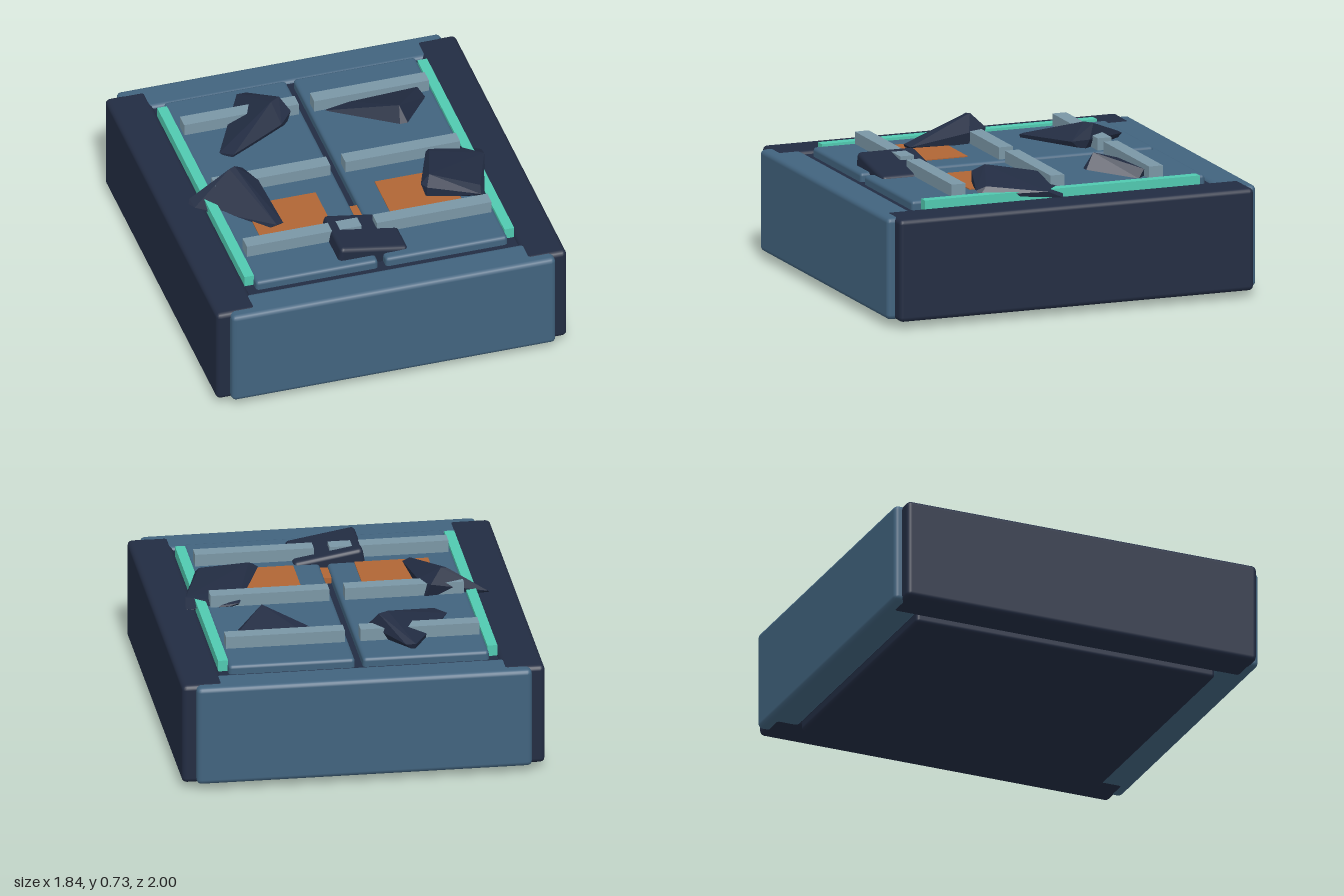
import * as THREE from 'three';
import { RoundedBoxGeometry } from 'three/addons/geometries/RoundedBoxGeometry.js';
import { ConvexGeometry } from 'three/addons/geometries/ConvexGeometry.js';

const material = (name, color) => Object.assign(new THREE.MeshStandardMaterial({ color }), { name });

export function createModel() {
  const model = new THREE.Group();
  model.name = 'crate';
  const navy = material('navy', 0x222c42);
  const blue = material('steel blue', 0x41637e);
  const teal = material('teal', 0x50c9b0);
  const orange = material('orange', 0xb06535);
  const grey = material('blue grey', 0x7a96a5);

  // Box given by its [min, max] range on each axis; r rounds the edges.
  function box(name, mat, [x0, x1], [y0, y1], [z0, z1], r = 0) {
    const size = [x1 - x0, y1 - y0, z1 - z0];
    const geometry = r ? new RoundedBoxGeometry(...size, 2, r) : new THREE.BoxGeometry(...size);
    const mesh = new THREE.Mesh(geometry, mat);
    mesh.name = name;
    mesh.position.set((x0 + x1) / 2, (y0 + y1) / 2, (z0 + z1) / 2);
    model.add(mesh);
    return mesh;
  }

  // Faceted chunk of rubble spanned by its corners.
  function shard(name, corners) {
    const mesh = new THREE.Mesh(new ConvexGeometry(corners.map((p) => new THREE.Vector3(...p))), navy);
    mesh.name = name;
    model.add(mesh);
  }

  // Body: plinth, filling and four walls
  box('base', navy, [-0.715, 0.715], [0, 0.1], [-0.82, 0.82], 0.02);
  box('core', navy, [-0.73, 0.73], [0.05, 0.545], [-0.84, 0.84]);
  for (const s of [-1, 1]) {
    const side = s < 0 ? 'right' : 'left';
    const span = (a, b) => (s < 0 ? [-b, -a] : [a, b]);
    box(side + 'Wall', navy, span(0.705, 0.92), [0.035, 0.562], [-0.96, 0.96], 0.025);
    box(s < 0 ? 'backWall' : 'frontWall', blue, [-0.85, 0.85], [0.037, 0.56], span(0.82, 1), 0.025);

    // Lid panel, light strip, hatch and crossbars on each half
    box(side + 'Panel', blue, span(0.02, 0.66), [0.5, 0.592], [-0.8, 0.79], 0.018);
    box(side + 'LightStrip', teal, span(0.657, 0.708), [0.52, 0.602], [-0.75, 0.74]);
    box(side + 'Hatch', orange, span(0.155, 0.53), [0.588, 0.597], [0.155, 0.425]);
    for (const z of [-0.54, -0.005, 0.53])
      box(side + 'Crossbar', grey, span(0.04, 0.642), [0.59, 0.655], [z - 0.0375, z + 0.0375]);
  }
  box('centreLatch', orange, [-0.021, 0.021], [0.545, 0.575], [0.29, 0.425]);

  // Rubble lying on the lid
  const slab = box('frontShard', navy, [-0.21, 0.15], [0.54, 0.64], [0.43, 0.74], 0.022);
  slab.position.y = 0.583;
  slab.rotation.z = -0.17;
  shard('backRightShard', [
    [-0.3, 0.62, -0.72], [-0.25, 0.62, -0.72], [-0.14, 0.712, -0.52], [-0.19, 0.712, -0.49],
    [-0.09, 0.64, -0.48], [-0.16, 0.62, -0.41], [-0.46, 0.61, -0.25], [-0.52, 0.6, -0.3],
    [-0.42, 0.58, -0.48], [-0.3, 0.57, -0.7], [-0.12, 0.57, -0.46], [-0.47, 0.57, -0.26],
  ]);
  shard('backLeftShard', [
    [0.09, 0.59, -0.5], [0.15, 0.58, -0.585], [0.2, 0.58, -0.585], [0.5, 0.58, -0.58],
    [0.58, 0.63, -0.5], [0.42, 0.7, -0.29], [0.41, 0.62, -0.24], [0.45, 0.62, -0.24], [0.61, 0.59, -0.46],
  ]);
  shard('middleRightShard', [
    [-0.78, 0.565, 0.02], [-0.76, 0.565, 0.06], [-0.77, 0.58, 0], [-0.56, 0.72, 0], [-0.53, 0.725, -0.01],
    [-0.47, 0.66, -0.07], [-0.42, 0.65, 0.04], [-0.39, 0.61, 0.37], [-0.43, 0.62, 0.39],
    [-0.48, 0.58, 0.36], [-0.44, 0.58, -0.05],
  ]);
  shard('middleLeftShard', [
    [0.35, 0.65, 0.31], [0.37, 0.65, 0.35], [0.4, 0.685, 0.29], [0.47, 0.65, 0.06], [0.5, 0.62, -0.07],
    [0.55, 0.6, -0.06], [0.76, 0.565, 0.01], [0.75, 0.6, 0.09], [0.66, 0.59, 0.42], [0.63, 0.61, 0.43],
    [0.64, 0.63, 0.38], [0.37, 0.58, 0.35], [0.5, 0.57, 0],
  ]);
  return model;
}
